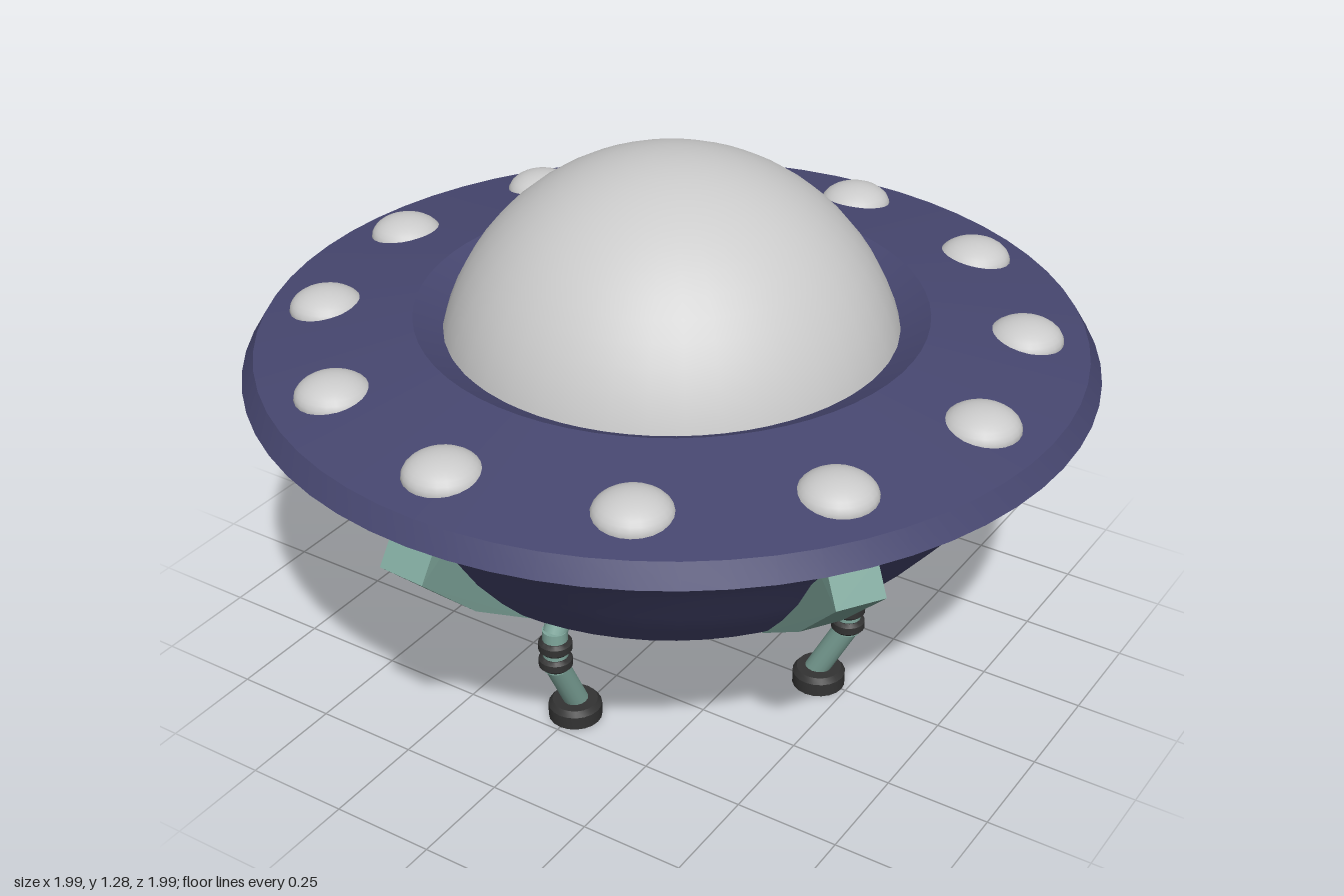
import * as THREE from 'three';
import { toCreasedNormals } from 'three/addons/utils/BufferGeometryUtils.js';

const paint = (color, flatShading = false) => new THREE.MeshStandardMaterial({ color, flatShading });
const MAT = {
  hull: paint(0x474770),
  glass: paint(0xcccccc),
  fin: paint(0x7fa79c, true),
  strut: paint(0x7fa79c),
  dark: paint(0x333333),
};
const DEG = Math.PI / 180;

function part(parent, name, geometry, material, x = 0, y = 0, z = 0) {
  const mesh = new THREE.Mesh(geometry, material);
  mesh.name = name;
  mesh.position.set(x, y, z);
  parent.add(mesh);
  return mesh;
}

// Lathe with crisp edges from [radius, y] pairs, bottom to top
function turned(profile, segments) {
  const points = profile.map(([r, y]) => new THREE.Vector2(r, y));
  return toCreasedNormals(new THREE.LatheGeometry(points, segments), 0.45);
}

// Cylinder spanning two points in the leg's (z, y) plane
function strut(parent, name, [z0, y0], [z1, y1], radius) {
  const a = new THREE.Vector3(0, y0, z0);
  const b = new THREE.Vector3(0, y1, z1);
  const dir = b.clone().sub(a);
  const mesh = part(parent, name, new THREE.CylinderGeometry(radius, radius, dir.length(), 16), MAT.strut);
  mesh.position.copy(a).add(b).multiplyScalar(0.5);
  mesh.quaternion.setFromUnitVectors(new THREE.Vector3(0, 1, 0), dir.normalize());
}

// Bent fin, narrowing towards its foot, running down the +z side of the hull
function finGeometry() {
  const outline = [
    [0.48, 0.415], [0.60, 0.387], [0.785, 0.515], [0.955, 0.68],
    [0.91, 0.75], [0.84, 0.75], [0.70, 0.57], [0.58, 0.44],
  ];
  const shape = new THREE.Shape(outline.map(([r, y]) => new THREE.Vector2(r, y)));
  const geo = new THREE.ExtrudeGeometry(shape, { depth: 1, bevelEnabled: false });
  geo.translate(0, 0, -0.5);
  const pos = geo.attributes.position;
  for (let i = 0; i < pos.count; i++) {
    const t = THREE.MathUtils.clamp((pos.getY(i) - 0.39) / 0.29, 0, 1);
    pos.setZ(i, pos.getZ(i) * THREE.MathUtils.lerp(0.09, 0.117, t));
  }
  geo.rotateY(-Math.PI / 2);
  geo.computeVertexNormals();
  return geo;
}

function makeLeg() {
  const leg = new THREE.Group();
  leg.name = 'leg';
  part(leg, 'hipCollar', new THREE.CylinderGeometry(0.041, 0.041, 0.07, 20), MAT.dark, 0, 0.39, 0.45);
  strut(leg, 'upperStrut', [0.445, 0.37], [0.498, 0.28], 0.029);
  strut(leg, 'kneePost', [0.498, 0.29], [0.498, 0.18], 0.03);
  for (const y of [0.247, 0.202]) {
    const ring = turned([[0, -0.017], [0.032, -0.017], [0.04, -0.009], [0.04, 0.009], [0.032, 0.017], [0, 0.017]], 20);
    part(leg, 'kneeRing', ring, MAT.dark, 0, y, 0.498);
  }
  strut(leg, 'lowerStrut', [0.5, 0.195], [0.415, 0.03], 0.029);
  const foot = turned([[0, 0], [0.064, 0], [0.064, 0.033], [0.054, 0.046], [0, 0.046]], 20);
  part(leg, 'foot', foot, MAT.dark, 0, 0, 0.425);
  return leg;
}

export function createModel() {
  const model = new THREE.Group();
  model.name = 'flyingSaucer';

  // Hull: recessed hatch, flared bowl, bevelled rim, shallow deck, dished dome seat
  const hull = turned([
    [0, 0.44], [0.163, 0.44], [0.163, 0.412], [0.63, 0.412],
    [0.70, 0.485], [0.78, 0.58], [0.845, 0.675], [0.905, 0.742],
    [0.997, 0.80], [0.967, 0.85], [0.60, 0.912], [0.53, 0.875], [0, 0.875],
  ], 64);
  part(model, 'hull', hull, MAT.hull);
  part(model, 'bottomHatch', new THREE.CylinderGeometry(0.16, 0.16, 0.01, 40), MAT.strut, 0, 0.437, 0);

  // Dome: spherical cap
  const cap = new THREE.SphereGeometry(0.552, 40, 14, 0, Math.PI * 2, 0, 76 * DEG);
  part(model, 'dome', cap, MAT.glass, 0, 0.73, 0);

  // Ring of flattened lamps on the deck
  const lampGeo = new THREE.SphereGeometry(0.089, 24, 16);
  for (let i = 0; i < 12; i++) {
    const a = (i * 30 - 2.8) * DEG;
    const lamp = part(model, 'lamp', lampGeo, MAT.glass, 0.818 * Math.sin(a), 0.863, 0.818 * Math.cos(a));
    lamp.scale.y = 0.58;
  }

  // Six fins round the bowl
  const finGeo = finGeometry();
  for (let i = 0; i < 6; i++) {
    part(model, 'fin', finGeo, MAT.fin).rotation.y = (i * 60 - 3.4) * DEG;
  }

  // Four landing legs
  for (let i = 0; i < 4; i++) {
    const leg = makeLeg();
    leg.rotation.y = i * 90 * DEG;
    model.add(leg);
  }
  return model;
}
